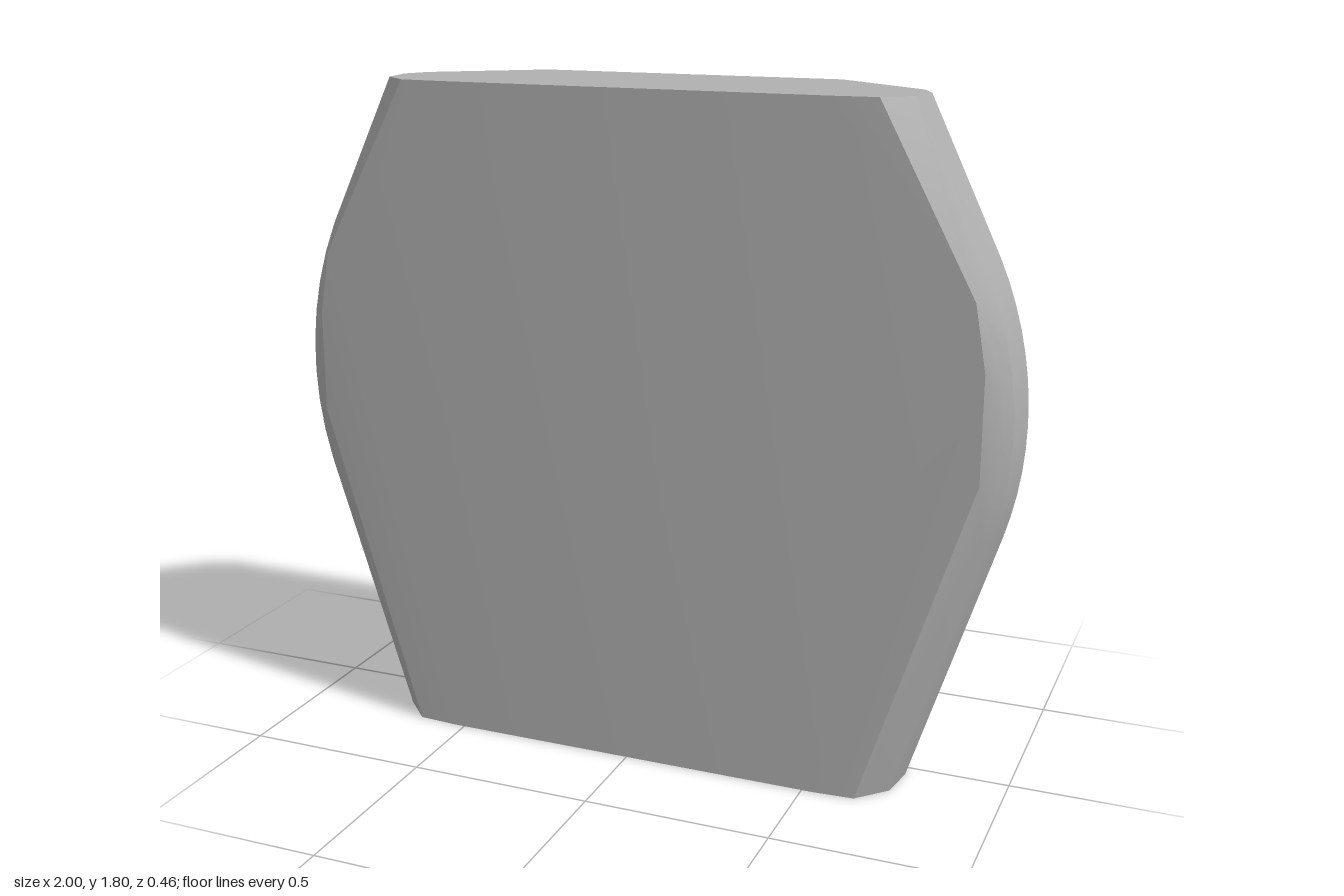
import * as THREE from 'three';
import { ConvexGeometry } from 'three/addons/geometries/ConvexGeometry.js';
import { toCreasedNormals } from 'three/addons/utils/BufferGeometryUtils.js';

const CENTRE_Y = 1, TOP = 1.8;

export function createModel() {
  const group = new THREE.Group();
  group.name = 'caseBlock';
  const grey = new THREE.MeshStandardMaterial({ color: 0xb0b0b0 });
  grey.name = 'plain grey';

  const points = [];
  const mirrored = (x, y, z) => points.push(new THREE.Vector3(x, y, z), new THREE.Vector3(-x, y, z));
  // Arc on the +x side, mirrored to the other side
  const arc = (radius, z, y0, y1, steps) => {
    const a0 = Math.asin((y0 - CENTRE_Y) / radius), a1 = Math.asin((y1 - CENTRE_Y) / radius);
    for (let i = 0; i <= steps; i++) {
      const a = a0 + (a1 - a0) * i / steps;
      mirrored(radius * Math.cos(a), CENTRE_Y + radius * Math.sin(a), z);
    }
  };

  // Round back, cut flat at the top
  arc(0.905, -0.23, 0.11, TOP, 40);
  points.push(new THREE.Vector3(0, 0.095, -0.23));

  // Bulging waist and its rounded front shoulder
  arc(1, 0.04, 0.7, 1.41, 12);
  arc(0.985, 0.145, 0.72, 1.4, 8);
  arc(0.965, 0.17, 0.73, 1.39, 8);

  // Front rim
  [[0.92, 0.88], [0.92, 1.16], [0.89, 1.33]].forEach(([x, y]) => mirrored(x, y, 0.2));

  // Flat top end: x, z
  [[0.69, -0.03], [0.725, 0.04], [0.71, 0.14], [0.64, 0.2], [0.52, 0.208]]
    .forEach(([x, z]) => mirrored(x, TOP, z));

  // Flat bottom end: x, z
  [[0.68, -0.06], [0.715, -0.02], [0.73, 0.04], [0.715, 0.145], [0.64, 0.223], [0.53, 0.23]]
    .forEach(([x, z]) => mirrored(x, 0, z));

  const body = new THREE.Mesh(toCreasedNormals(new ConvexGeometry(points), 0.45), grey);
  body.name = 'body';
  group.add(body);
  return group;
}
